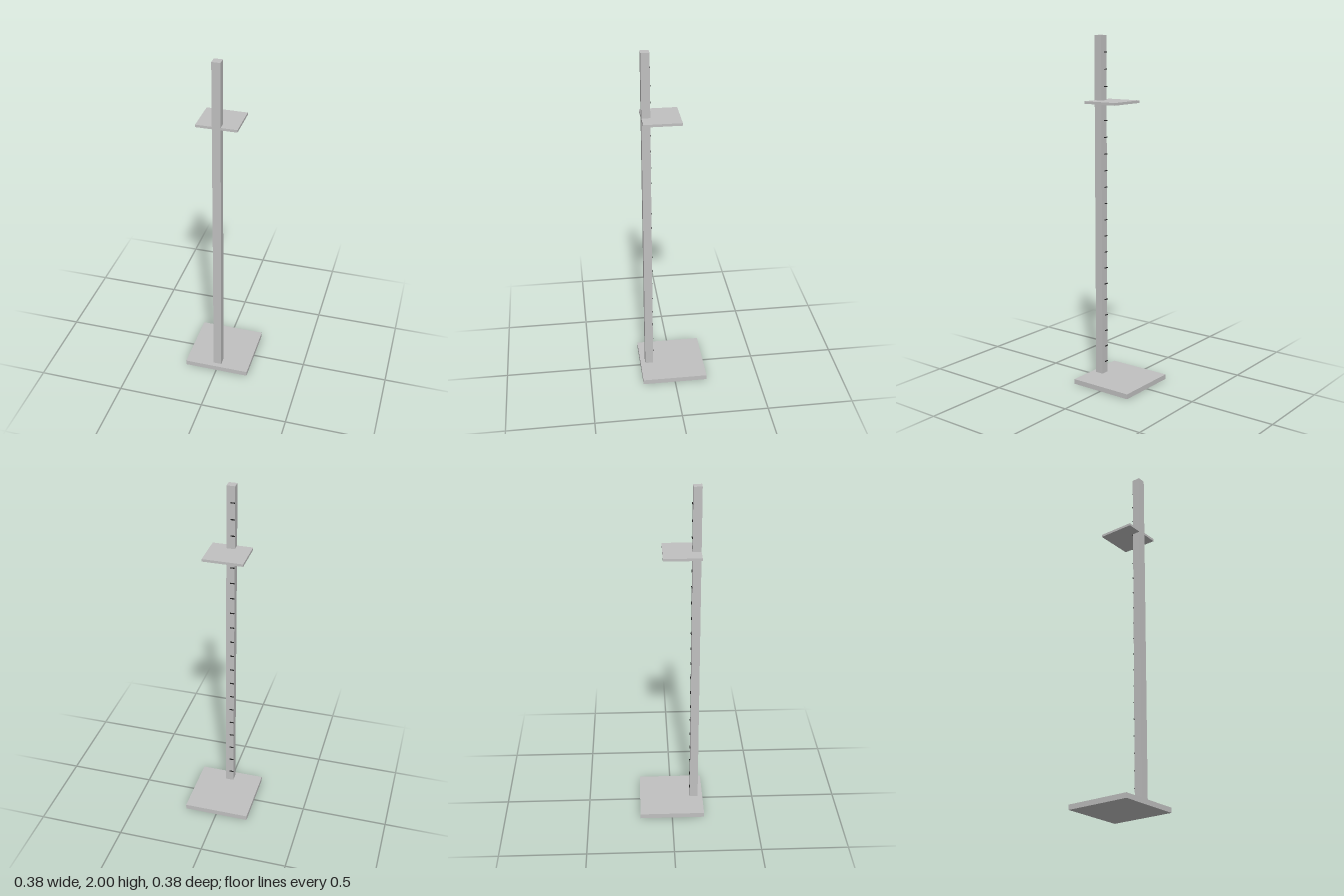
import * as THREE from 'three';

export function createModel() {
  const model = new THREE.Group();
  model.name = 'heightGauge';

  const grey = new THREE.MeshStandardMaterial({ color: 0xc0c0c0 });
  grey.name = 'light grey';
  const dark = new THREE.MeshStandardMaterial({ color: 0x222222 });
  dark.name = 'dark marking';

  const box = (name, material, size, position) => {
    const mesh = new THREE.Mesh(new THREE.BoxGeometry(...size), material);
    mesh.name = name;
    mesh.position.set(...position);
    model.add(mesh);
  };

  // Square foot plate
  box('base', grey, [0.381, 0.0286, 0.381], [0, 0.0143, 0]);

  // Upright near the front edge of the base
  box('post', grey, [0.0476, 1.9714, 0.0476], [0, 1.0143, 0.138]);

  // Sliding headboard, flush with the front of the post
  box('headboard', grey, [0.2276, 0.0143, 0.2095], [0, 1.633, 0.057]);

  // Evenly spaced scale marks on the back of the post
  for (let i = 1; i <= 20; i++) {
    box(`scaleMark${i}`, dark, [0.0238, 0.0048, 0.0048], [-0.0119, 0.0952 * i + 0.003, 0.1118]);
  }

  return model;
}
